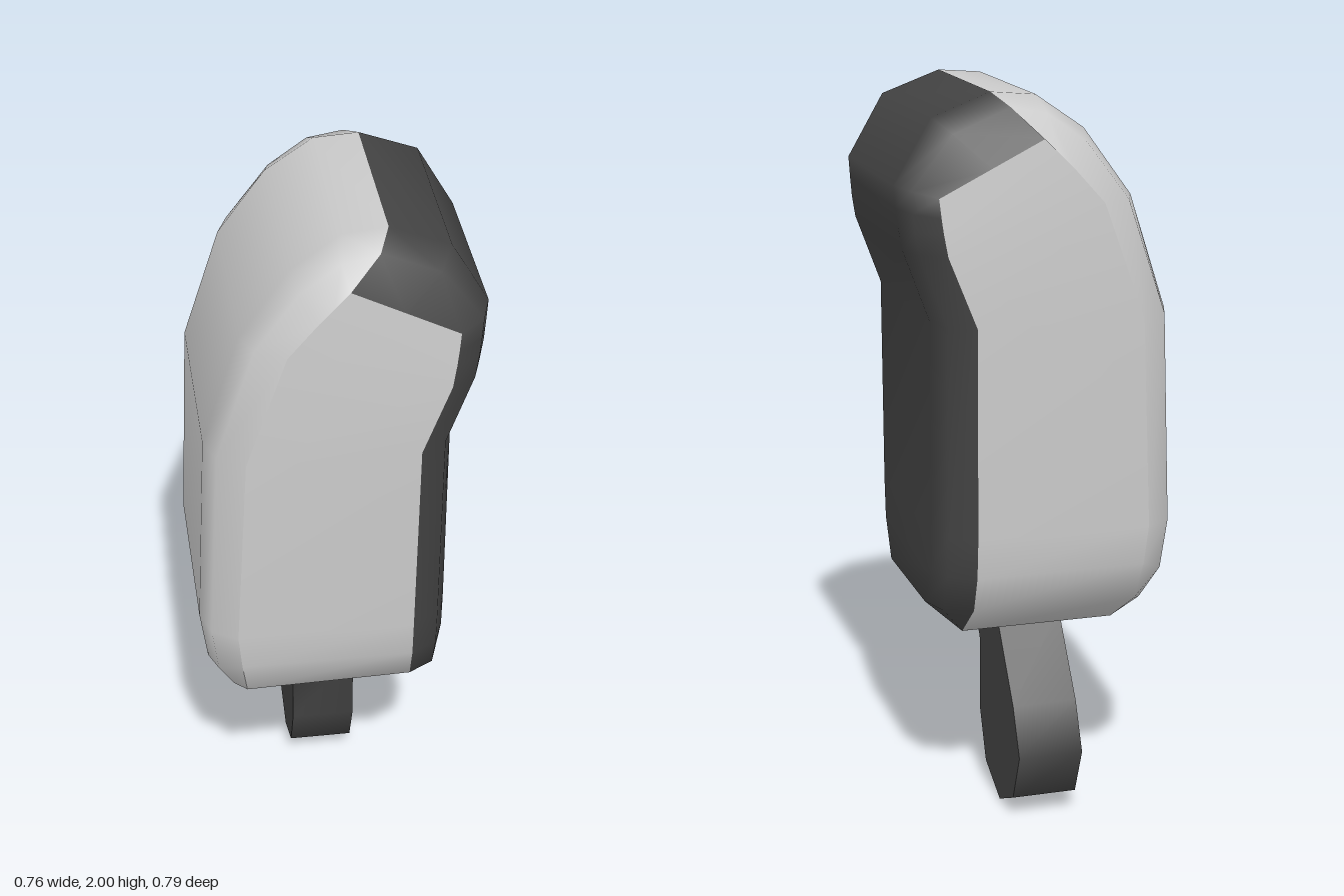
import * as THREE from 'three';
import { toCreasedNormals } from 'three/addons/utils/BufferGeometryUtils.js';

// Cross-sections from bottom to top, [x, y] of each corner:
// left outer, left inner, right inner, right outer, inner half depth, outer half depth
const sections = [
  [[-0.24, 0.52], [-0.24, 0.52], [0.19, 0.52], [0.19, 0.52], 0.21, 0.21],
  [[-0.31, 0.59], [-0.265, 0.61], [0.19, 0.62], [0.29, 0.61], 0.33, 0.19],
  [[-0.365, 0.68], [-0.28, 0.72], [0.19, 0.72], [0.29, 0.72], 0.365, 0.25],
  [[-0.385, 0.83], [-0.29, 0.83], [0.19, 0.83], [0.29, 0.83], 0.375, 0.26],
  [[-0.36, 1.41], [-0.26, 1.41], [0.195, 1.41], [0.29, 1.41], 0.395, 0.27],
  [[-0.26, 1.72], [-0.15, 1.72], [0.27, 1.6], [0.36, 1.6], 0.388, 0.27],
  [[-0.13, 1.9], [-0.07, 1.81], [0.28, 1.66], [0.37, 1.66], 0.383, 0.265],
  [[0, 1.99], [-0.03, 1.85], [0.285, 1.7], [0.375, 1.71], 0.38, 0.26],
  [[0.12, 2], [0.01, 1.89], [0.29, 1.75], [0.38, 1.77], 0.376, 0.255],
];

// Smooth surface through a grid of points
function patch(name, grid, material) {
  const cols = grid[0].length;
  const index = [];
  for (let i = 0; i < grid.length - 1; i++) {
    for (let j = 0; j < cols - 1; j++) {
      const a = i * cols + j, d = a + cols;
      index.push(a, a + 1, d + 1, a, d + 1, d);
    }
  }
  const geometry = new THREE.BufferGeometry();
  geometry.setAttribute('position', new THREE.Float32BufferAttribute(grid.flat(2), 3));
  geometry.setIndex(index);
  geometry.computeVertexNormals();
  const mesh = new THREE.Mesh(geometry, material);
  mesh.name = name;
  return mesh;
}

// Rounded edge row, running from the front (+z) inner edge to the back one
function edgeRow(inner, outer, zInner, zOuter) {
  const mix = (a, b, t) => a + (b - a) * t;
  const half = [
    [...inner, zInner],
    [mix(inner[0], outer[0], 0.72), mix(inner[1], outer[1], 0.72), mix(zInner, zOuter, 0.35)],
    [...outer, zOuter],
  ];
  const mirrored = half.map(([x, y, z]) => [x, y, -z]).reverse();
  return [...half, ...mirrored];
}

export function createModel() {
  const group = new THREE.Group();
  const light = new THREE.MeshStandardMaterial({ color: 0xcccccc, side: THREE.DoubleSide });
  const dark = new THREE.MeshStandardMaterial({ color: 0x444444, side: THREE.DoubleSide });

  // Front face, underside and back face as one continuous strip
  const faceRow = (s, sign) => [s[2], s[1]].map((p) => [...p, sign * s[4]]);
  const front = sections.map((s) => faceRow(s, 1)).reverse();
  const back = sections.map((s) => faceRow(s, -1));
  group.add(patch('bodyFaces', [...front, ...back], light));

  // Light rounded shell on the curved side
  const left = sections.map((s) => edgeRow(s[1], s[0], s[4], s[5]).reverse());
  group.add(patch('curvedShell', left, light));

  // Dark shell up the straight side and over the slanted top
  const right = sections.map((s) => edgeRow(s[2], s[3], s[4], s[5]));
  const top = sections[sections.length - 1];
  right.push(edgeRow([0.15, 1.82], [0.28, 1.94], 0.376, 0.26));
  right.push(edgeRow(top[1], top[0], top[4], top[5]));
  group.add(patch('darkShellAndCap', right, dark));

  // Stem with a rounded end, reaching backwards under the body; outline in (-z, y)
  const outline = [
    [-0.12, 0.54], [0, 0.42], [0, 0.2], [0.06, 0.06], [0.2, 0],
    [0.33, 0.06], [0.39, 0.2], [0.33, 0.33], [0.175, 0.54],
  ].map(([x, y]) => new THREE.Vector2(x, y));
  const stemGeometry = new THREE.ExtrudeGeometry(new THREE.Shape(outline), {
    depth: 0.18, bevelEnabled: false,
  });
  stemGeometry.rotateY(Math.PI / 2).translate(-0.1, 0, 0);
  const stem = new THREE.Mesh(toCreasedNormals(stemGeometry, 0.9), dark);
  stem.name = 'stem';
  group.add(stem);

  return group;
}
